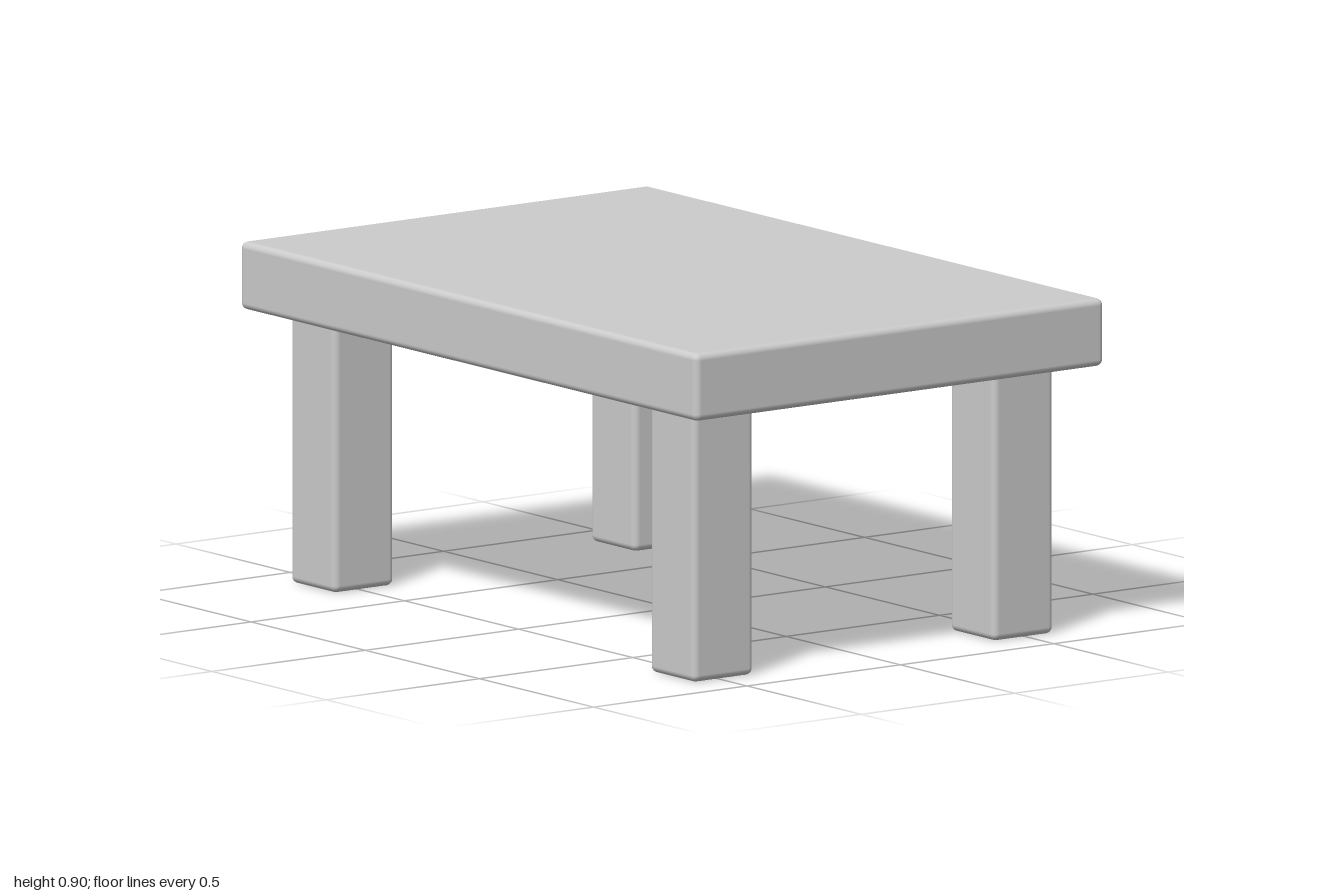
import * as THREE from 'three';
import { RoundedBoxGeometry } from 'three/addons/geometries/RoundedBoxGeometry.js';

const TOP = { width: 2, height: 0.18, depth: 1.333, bottom: 0.72 };
const LEG = { size: 0.197, height: 0.74, x: 0.787, z: 0.489 };
const RADIUS = 0.018;

export function createModel() {
  const table = new THREE.Group();
  table.name = 'table';
  const material = new THREE.MeshStandardMaterial({ color: 0xcccccc });

  // Box with softly rounded edges, placed by the centre of its underside
  const addBlock = (name, width, height, depth, x, y, z) => {
    const mesh = new THREE.Mesh(new RoundedBoxGeometry(width, height, depth, 4, RADIUS), material);
    mesh.name = name;
    mesh.position.set(x, y + height / 2, z);
    table.add(mesh);
  };

  // Thick slab top
  addBlock('tableTop', TOP.width, TOP.height, TOP.depth, 0, TOP.bottom, 0);

  // Four square legs, set in from the corners and let into the top
  for (const [side, sx] of [['Left', 1], ['Right', -1]]) {
    for (const [end, sz] of [['front', 1], ['back', -1]]) {
      addBlock(`${end}${side}Leg`, LEG.size, LEG.height, LEG.size, sx * LEG.x, 0, sz * LEG.z);
    }
  }

  return table;
}
